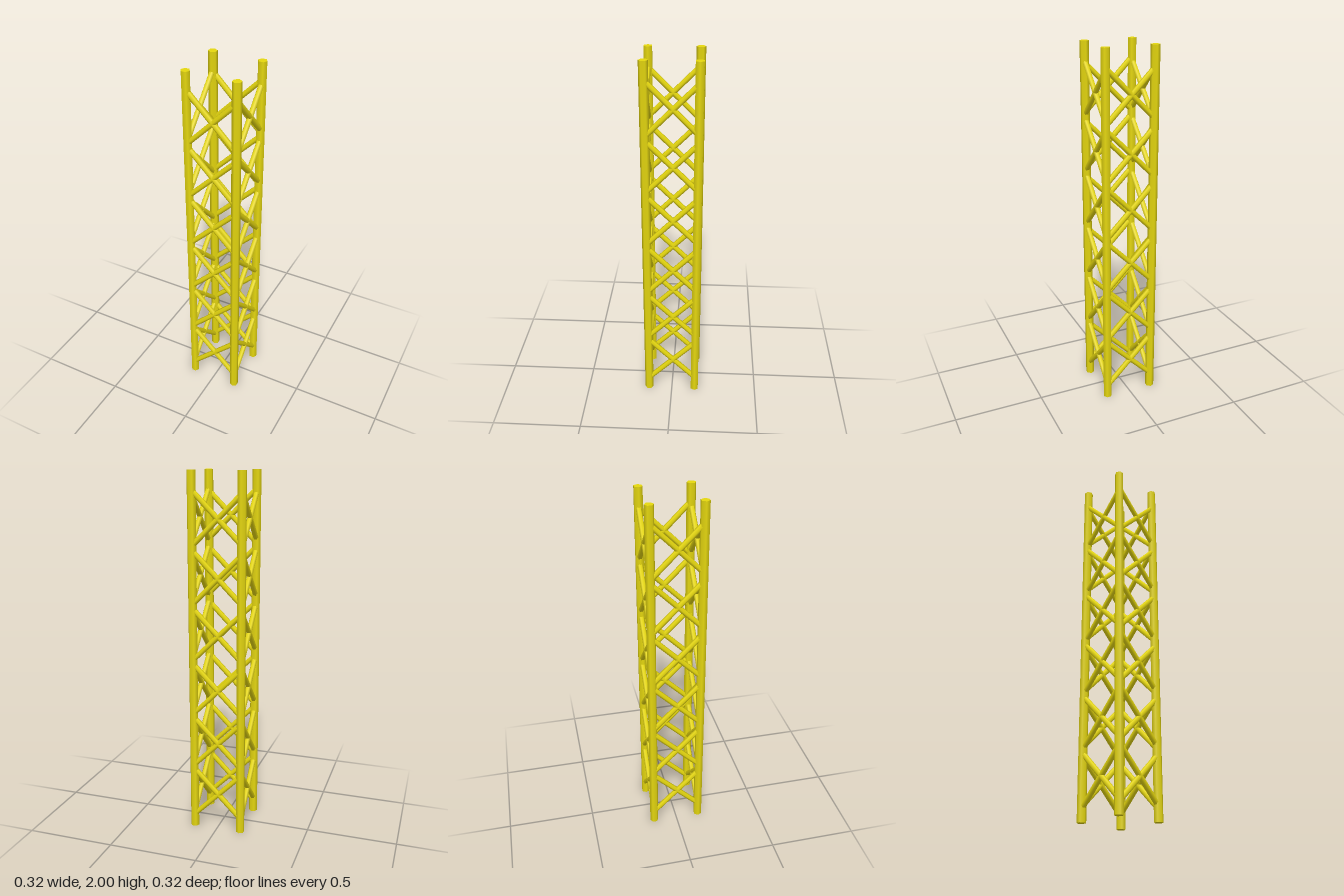
import * as THREE from 'three';

const HALF = 0.136;      // leg axis distance from the centre
const BAYS = 6;
const BAY_HEIGHT = 0.309;
const FIRST_BAY = 0.212; // height of the lowest crossing

export function createModel() {
  const tower = new THREE.Group();
  tower.name = 'latticeTower';
  const material = new THREE.MeshStandardMaterial({ color: 0xe6d80f });

  const legGeometry = new THREE.CylinderGeometry(0.0245, 0.0245, 2, 6);
  const braceGeometry = new THREE.CylinderGeometry(0.015, 0.015, 0.35, 6);

  // One leg and one braced face, turned around the vertical axis four times
  for (let i = 0; i < 4; i++) {
    const side = new THREE.Group();
    side.name = ['front', 'right', 'back', 'left'][i] + 'Side';
    side.rotation.y = (i * Math.PI) / 2;

    const leg = new THREE.Mesh(legGeometry, material);
    leg.name = 'leg';
    leg.position.set(HALF, 1, HALF);
    side.add(leg);

    // Crossed diagonals, one set slightly above the other
    for (let bay = 0; bay < BAYS; bay++) {
      for (const lean of [1, -1]) {
        const brace = new THREE.Mesh(braceGeometry, material);
        brace.name = 'diagonalBrace';
        brace.position.set(0, FIRST_BAY + bay * BAY_HEIGHT + lean * 0.007, HALF + 0.001);
        brace.rotation.z = (lean * Math.PI) / 4;
        side.add(brace);
      }
    }
    tower.add(side);
  }
  return tower;
}
